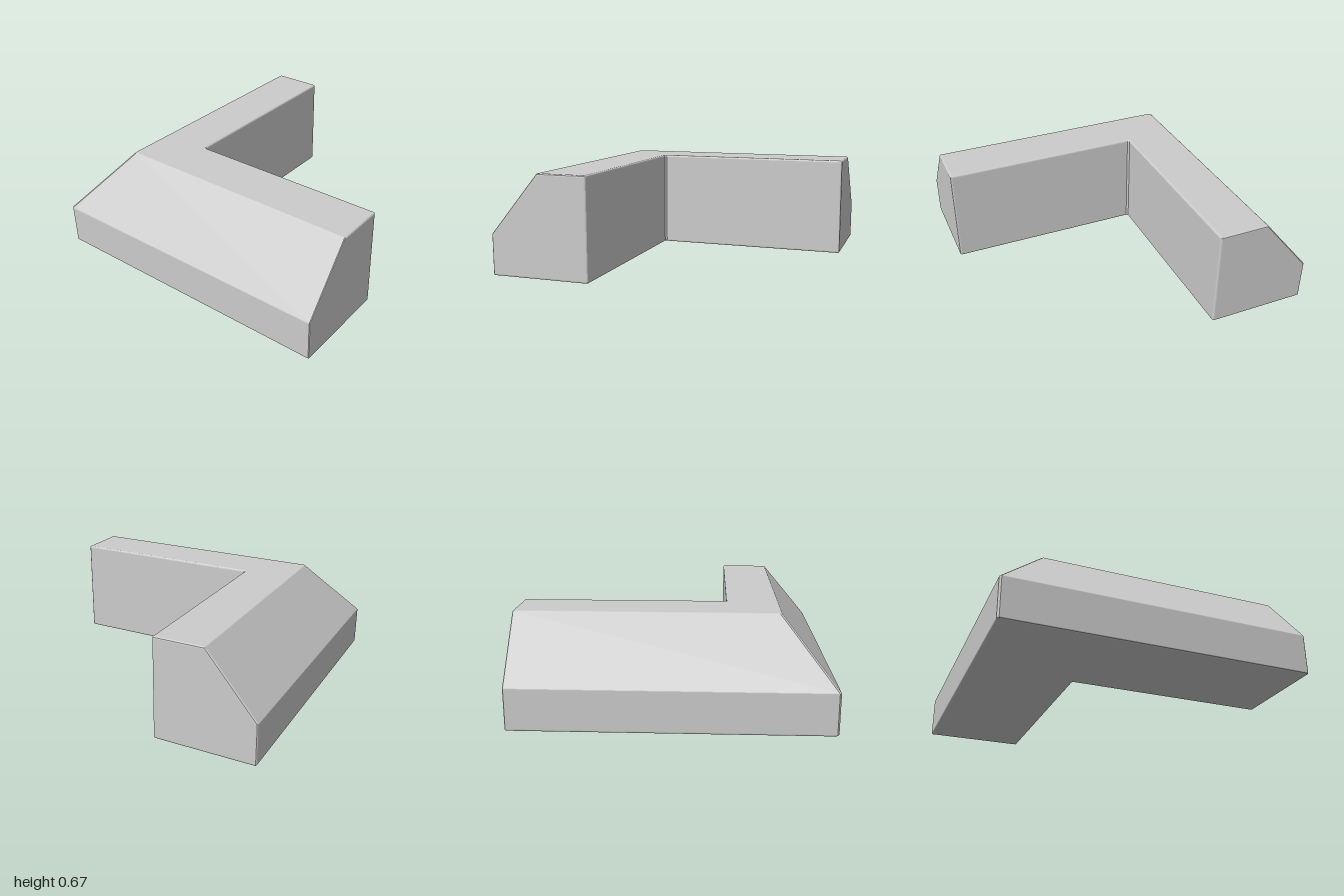
import * as THREE from 'three';

const W = 2 / 3, R = 0.012, ARC = 3;

// Cross-section: distance in from the outer side, and height
const corners = [[0, 0], [W, 0], [W, W], [W / 2, W], [0, 0.27]].map(p => new THREE.Vector2(...p));

// Softened section outline whose corner radius is rho
function outline(rho) {
  const n = corners.length;
  const normal = i => {
    const e = corners[(i + 1) % n].clone().sub(corners[i % n]).normalize();
    return new THREE.Vector2(e.y, -e.x);
  };
  const points = [];
  corners.forEach((p, i) => {
    const a = normal(i + n - 1), b = normal(i);
    const centre = p.clone().addScaledVector(a.clone().add(b), -R / (1 + a.dot(b)));
    const turn = Math.acos(a.dot(b));
    for (let k = 0; k <= ARC; k++) {
      const dir = a.clone().rotateAround(new THREE.Vector2(), turn * k / ARC);
      points.push(centre.clone().addScaledVector(dir, rho));
    }
  });
  return points;
}

function createCornerWall() {
  // Rounded end of one arm, from its flat face inwards
  const end = [];
  for (let k = 0; k <= ARC; k++) {
    const t = (k / ARC) * Math.PI / 2;
    end.push({ rho: R * Math.sin(t), s: 1 - R + R * Math.cos(t) });
  }
  const section = ({ rho, s }, side) => outline(rho).map(p => {
    const across = -1 + p.x;
    const along = s ?? across + R; // no s: mitred joint, slightly bevelled
    return side ? new THREE.Vector3(along, p.y, across) : new THREE.Vector3(across, p.y, along);
  });
  const joint = { rho: R };
  const rings = [
    ...[...end, joint].map(o => section(o, false)),
    ...[joint, ...end.slice().reverse()].map(o => section(o, true)),
  ];

  const pos = [];
  const tri = (a, b, c) => {
    const area = b.clone().sub(a).cross(c.clone().sub(a)).length();
    if (area > 1e-9) for (const v of [a, b, c]) pos.push(v.x, v.y, v.z);
  };
  const n = rings[0].length;
  for (let i = 0; i < rings.length - 1; i++) {
    const p = rings[i], q = rings[i + 1];
    for (let j = 0; j < n; j++) {
      const k = (j + 1) % n;
      tri(p[j], q[j], p[k]);
      tri(p[k], q[j], q[k]);
    }
  }
  // Flat end faces
  const first = rings[0], last = rings[rings.length - 1];
  for (let j = 1; j < n - 1; j++) {
    tri(first[0], first[j], first[j + 1]);
    tri(last[0], last[j + 1], last[j]);
  }
  const geometry = new THREE.BufferGeometry();
  geometry.setAttribute('position', new THREE.Float32BufferAttribute(pos, 3));
  geometry.computeVertexNormals();
  return geometry;
}

export function createModel() {
  const group = new THREE.Group();
  group.name = 'cornerBlock';
  const wall = new THREE.Mesh(
    createCornerWall(),
    new THREE.MeshStandardMaterial({ color: 0xcccccc, flatShading: true })
  );
  wall.name = 'chamferedCornerWall';
  group.add(wall);
  return group;
}
